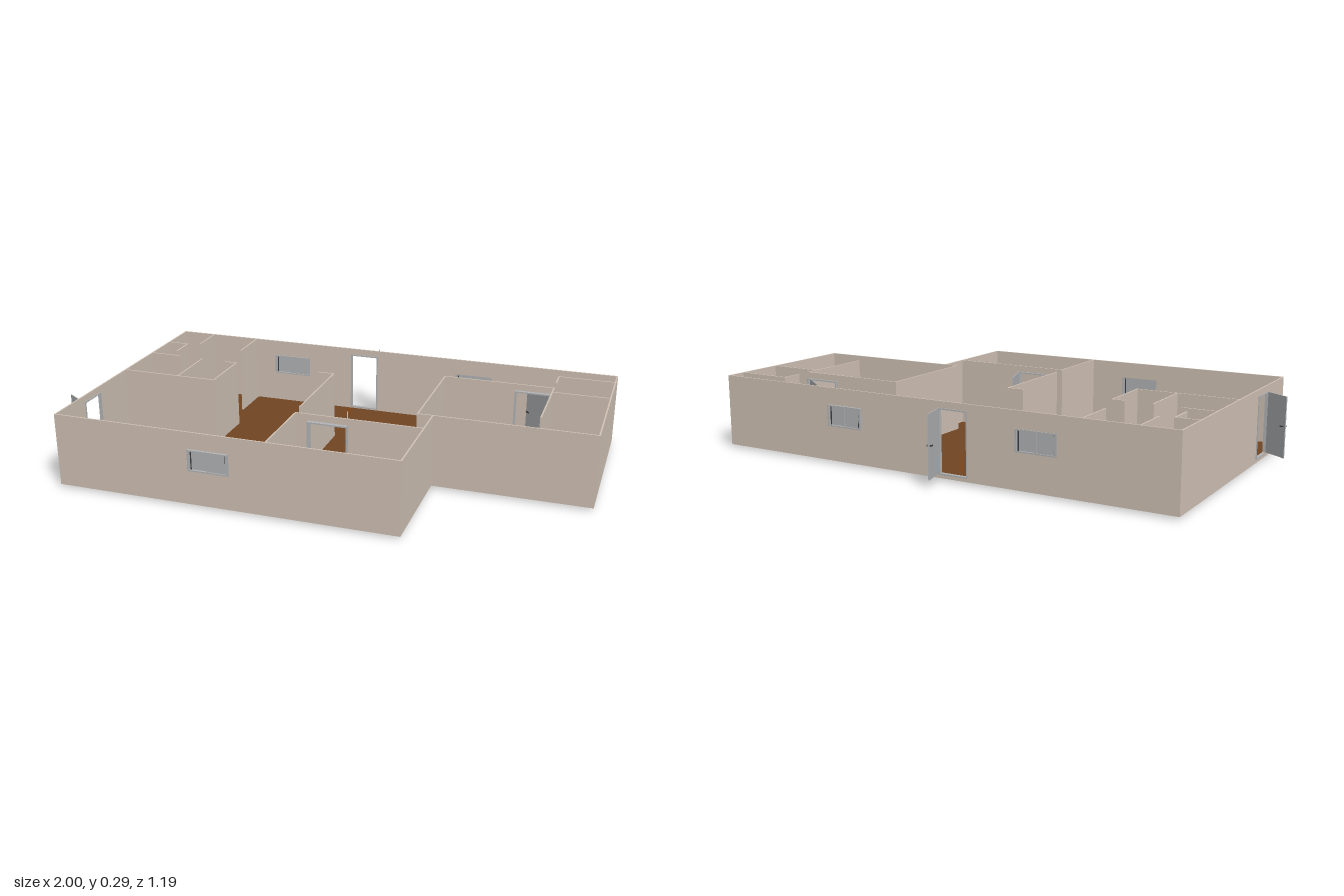
import * as THREE from 'three';

const T = 0.006;               // wall thickness
const Y0 = 0.01, Y1 = 0.29;    // wall bottom and top
const DOOR = [0.026, 0.265];   // door opening heights
const WIN = [0.145, 0.226];    // window opening heights

const wallMat = new THREE.MeshStandardMaterial({ color: 0xcfc0b3 });
const floorMat = new THREE.MeshStandardMaterial({ color: 0x704422 });
const greyMat = new THREE.MeshStandardMaterial({ color: 0xb0b2b4 });
const darkMat = new THREE.MeshStandardMaterial({ color: 0x3c3e42 });

function box(parent, name, mat, size, pos) {
  const m = new THREE.Mesh(new THREE.BoxGeometry(...size), mat);
  m.position.set(...pos);
  m.name = name;
  parent.add(m);
  return m;
}

// Rectangle path used for wall outlines, openings and frames
function rect(Type, a, b, c, d) {
  const p = new Type();
  p.moveTo(a, c); p.lineTo(b, c); p.lineTo(b, d); p.lineTo(a, d); p.closePath();
  return p;
}

// Straight wall between two plan points; openings are [start, end, bottom, top] along it
function wall(parent, name, [x1, z1, x2, z2], openings = []) {
  const len = Math.hypot(x2 - x1, z2 - z1);
  const s = rect(THREE.Shape, -T / 2, len + T / 2, Y0, Y1);
  for (const [a, b, c, d] of openings) s.holes.push(rect(THREE.Path, a, b, c, d));
  const g = new THREE.ExtrudeGeometry(s, { depth: T, bevelEnabled: false });
  g.translate(0, 0, -T / 2);
  const m = new THREE.Mesh(g, wallMat);
  m.position.set(x1, 0, z1);
  m.rotation.y = -Math.atan2(z2 - z1, x2 - x1);
  m.name = name;
  parent.add(m);
}

// Two-pane sliding window, outer face towards local +z
function makeWindow(parent, x, z, width, depth, facing) {
  const w = new THREE.Group();
  w.name = 'window';
  const [c, d] = WIN, h = d - c, y = (c + d) / 2, r = 0.005;
  for (const s of [-1, 1]) {
    box(w, 'windowJamb', greyMat, [r, h, depth], [s * (width - r) / 2, y, 0]);
    box(w, 'windowRail', greyMat, [width, r, depth], [0, y + s * (h - r) / 2, 0]);
    box(w, 'windowPane', greyMat, [width / 2, h - 2 * r, 0.003], [s * width / 4.2, y, s * 0.002]);
    box(w, 'paneStile', darkMat, [0.003, h - 2 * r, 0.007], [s * (width / 2 - 0.012), y, 0]);
  }
  box(w, 'windowMullion', greyMat, [r, h, depth * 0.8], [0, y, 0]);
  w.position.set(x, 0, z);
  w.rotation.y = facing;
  parent.add(w);
}

// Open door leaf from its hinge to its free edge, with a handle on both faces
function doorLeaf(parent, [hx, hz, ex, ez]) {
  const leaf = new THREE.Group();
  leaf.name = 'door';
  const len = Math.hypot(ex - hx, ez - hz);
  box(leaf, 'doorPanel', greyMat, [len, 0.235, 0.004], [len / 2, 0.1465, 0]);
  for (const s of [-1, 1]) {
    box(leaf, 'handleStem', darkMat, [0.004, 0.004, 0.006], [len - 0.01, 0.15, s * 0.004]);
    box(leaf, 'handleLever', darkMat, [0.016, 0.004, 0.003], [len - 0.014, 0.15, s * 0.008]);
  }
  leaf.position.set(hx, 0, hz);
  leaf.rotation.y = -Math.atan2(ez - hz, ex - hx);
  parent.add(leaf);
}

// Door frame: two jambs and a head, running along local x
function doorFrame(parent, x, z, width, depth, bottom, turn = 0) {
  const f = new THREE.Group();
  f.name = 'doorFrame';
  const top = DOOR[1], r = 0.005, h = top - bottom;
  for (const s of [-1, 1])
    box(f, 'doorJamb', greyMat, [r, h, depth], [s * (width - r) / 2, bottom + h / 2, 0]);
  box(f, 'doorHead', greyMat, [width, r, depth], [0, top - r / 2, 0]);
  f.position.set(x, 0, z);
  f.rotation.y = turn;
  parent.add(f);
  return f;
}

export function createModel() {
  const house = new THREE.Group();
  house.name = 'house';

  // Outer plan edges and the notch corner
  const h = T / 2;
  const L = -0.908 + h, R = 1 - h, B = -0.492 + h, F = 0.585 - h, NX = 0.405 - h, NZ = 0.16 - h;

  // Floor slab (shape y becomes world z)
  const plan = new THREE.Shape([[L, B], [R, B], [R, NZ], [NX, NZ], [NX, F], [L, F]]
    .map(([x, z]) => new THREE.Vector2(x, -z)));
  const slab = new THREE.ExtrudeGeometry(plan, { depth: 0.01, bevelEnabled: false });
  slab.rotateX(-Math.PI / 2);
  const floor = new THREE.Mesh(slab, floorMat);
  floor.position.y = Y0 - 0.0005;
  floor.name = 'floor';
  house.add(floor);

  // Outer walls
  const outer = new THREE.Group();
  outer.name = 'outerWalls';
  house.add(outer);
  wall(outer, 'backWall', [L, B, R, B], [
    [-0.47 - L, -0.31 - L, ...WIN],
    [-0.12 - L, 0 - L, ...DOOR],
    [0.34 - L, 0.493 - L, ...WIN],
  ]);
  wall(outer, 'frontWall', [L, F, NX, F], [[-0.375 - L, -0.22 - L, ...WIN]]);
  wall(outer, 'rightWall', [L, B, L, F], [[0.27 - B, 0.385 - B, ...DOOR]]);
  wall(outer, 'leftWall', [R, B, R, NZ]);
  wall(outer, 'notchSideWall', [NX, NZ, NX, F]);
  wall(outer, 'notchFrontWall', [0.345, NZ, R, NZ]);

  // Inner walls
  const inner = new THREE.Group();
  inner.name = 'innerWalls';
  house.add(inner);
  const partitions = [
    [-0.765, B, -0.765, -0.34], [-0.56, B, -0.56, -0.315],
    [L, -0.325, -0.817, -0.325], [-0.817, -0.325, -0.817, -0.225],
    [L, -0.168, -0.78, -0.168], [-0.67, -0.158, -0.67, 0.063],
    [-0.56, -0.158, -0.513, -0.158], [-0.513, -0.158, -0.513, 0.063],
    [L, 0.063, -0.513, 0.063],
    [-0.15, -0.158, -0.087, -0.158], [-0.087, -0.158, -0.087, 0.225],
    [-0.081, 0.287, -0.081, F],
    [0.345, -0.272, 0.345, NZ], [0.777, -0.272, 0.777, 0.05],
    [0.777, -0.412, 0.777, -0.335], [0.777, -0.412, R, -0.412],
    [0.777, -0.225, R, -0.225],
  ];
  for (const p of partitions) wall(inner, 'partition', p);
  wall(inner, 'frontRoomWall', [-0.081, 0.287, NX, 0.287], [[0.048, 0.2, ...DOOR]]);
  wall(inner, 'sideRoomWall', [0.345, -0.272, 0.777, -0.272], [[0.283, 0.428, ...DOOR]]);

  // Windows
  makeWindow(house, -0.2975, 0.587, 0.155, 0.016, 0);
  makeWindow(house, 0.4165, -0.494, 0.153, 0.016, Math.PI);
  makeWindow(house, -0.39, -0.488, 0.16, 0.014, Math.PI);

  // Doors and frames
  doorFrame(house, 0.045, 0.291, 0.155, 0.03, 0);
  doorFrame(house, 0.702, -0.269, 0.148, 0.03, 0);
  const back = doorFrame(house, -0.06, -0.489, 0.12, 0.014, DOOR[0]);
  const side = doorFrame(house, -0.905, 0.3275, 0.115, 0.012, DOOR[0], -Math.PI / 2);
  box(back, 'doorSill', greyMat, [0.12, 0.005, 0.014], [0, 0.026, 0]);
  box(side, 'doorSill', greyMat, [0.115, 0.005, 0.012], [0, 0.026, 0]);
  doorLeaf(house, [0, -0.492, -0.025, -0.594]);
  doorLeaf(house, [-0.908, 0.385, -0.998, 0.325]);
  doorLeaf(house, [0.117, 0.28, 0.075, 0.155]);
  doorLeaf(house, [0.767, -0.275, 0.665, -0.356]);

  return house;
}
